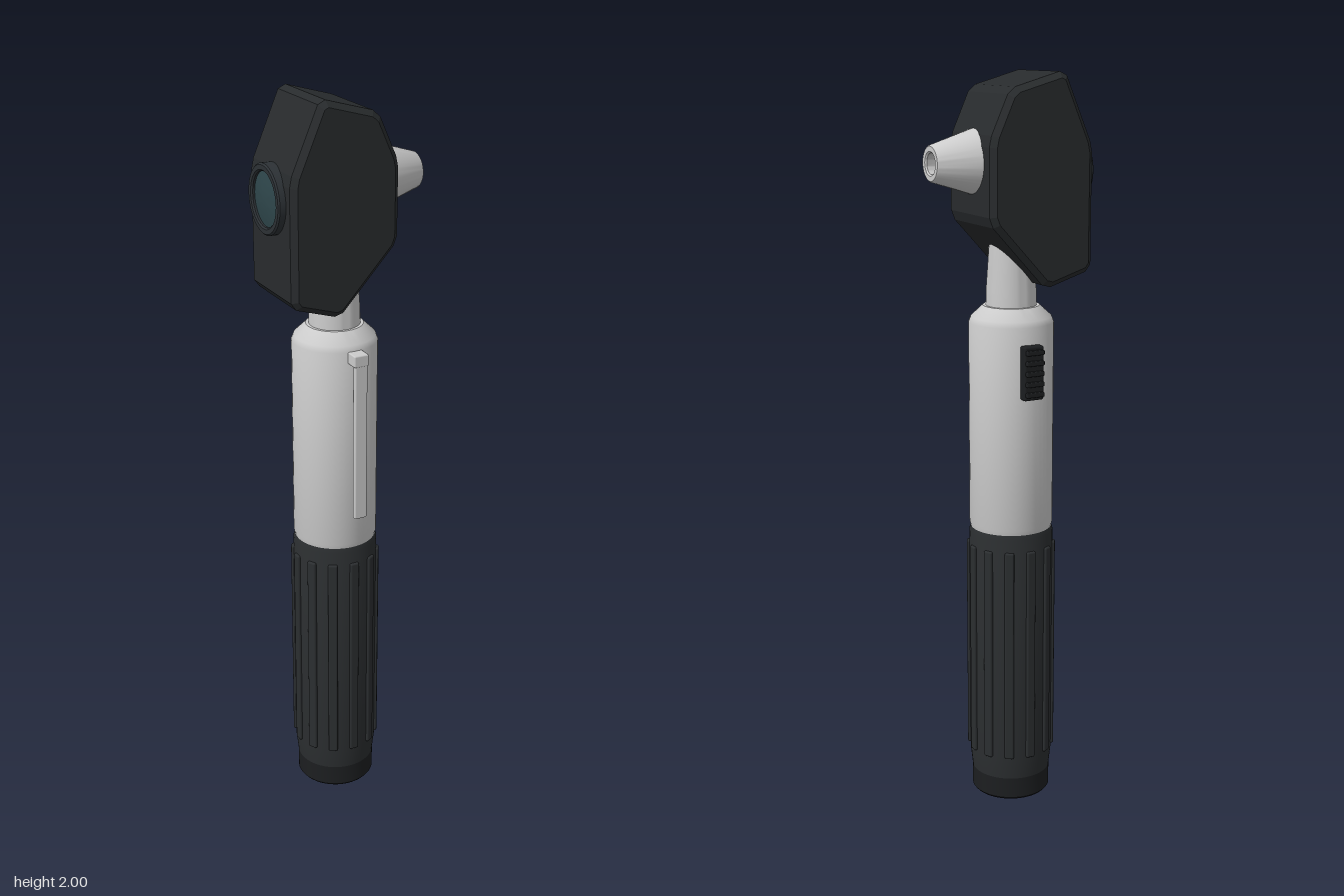
import * as THREE from 'three';
import { toCreasedNormals } from 'three/addons/utils/BufferGeometryUtils.js';
import { RoundedBoxGeometry } from 'three/addons/geometries/RoundedBoxGeometry.js';

const AXIS_X = -0.018, AXIS_Z = -0.004;

export function createModel() {
  const model = new THREE.Group();
  model.name = 'otoscope';
  const mat = (color) => new THREE.MeshStandardMaterial({ color });
  const metal = mat(0xcccccc), rubber = mat(0x2b2e30), shell = mat(0x282b2d);
  const black = mat(0x1c1e20), trim = mat(0x2c3135), glass = mat(0x2f474c);

  const add = (name, geometry, material, x = 0, y = 0, z = 0, parent = model) => {
    const mesh = new THREE.Mesh(geometry, material);
    mesh.name = name;
    mesh.position.set(x, y, z);
    parent.add(mesh);
    return mesh;
  };
  const lathe = (points, segments = 48) => toCreasedNormals(
    new THREE.LatheGeometry(points.map(([r, y]) => new THREE.Vector2(r, y)), segments), 0.5);

  // Handle: everything turned about one upright axis
  const handle = new THREE.Group();
  handle.name = 'handle';
  handle.position.set(AXIS_X, 0, AXIS_Z);
  model.add(handle);

  add('endCap', lathe([[0, 0], [0.104, 0], [0.109, 0.006], [0.109, 0.08], [0, 0.08]]), black, 0, 0, 0, handle);
  add('grip', lathe([[0, 0.065], [0.109, 0.065], [0.115, 0.12], [0.115, 0.775], [0.11, 0.79], [0, 0.79]]),
    rubber, 0, 0, 0, handle);
  add('barrel', lathe([[0, 0.78], [0.109, 0.78], [0.114, 0.80], [0.114, 1.355], [0.108, 1.37],
    [0.076, 1.4], [0, 1.4]]), metal, 0, 0, 0, handle);
  add('neck', lathe([[0.068, 1.39], [0.067, 1.44], [0.056, 1.6], [0, 1.6]]), metal, 0, 0, 0, handle);

  // Raised ribs round the grip
  const ribGeometry = new RoundedBoxGeometry(0.026, 0.61, 0.02, 2, 0.005);
  const ribs = new THREE.Group();
  ribs.name = 'gripRibs';
  handle.add(ribs);
  for (let i = 0; i < 12; i++) {
    const a = (i / 12) * Math.PI * 2;
    add('gripRib', ribGeometry, rubber, Math.sin(a) * 0.112, 0.435, Math.cos(a) * 0.112, ribs).rotation.y = a;
  }

  // Pocket clip on the front
  const clip = new THREE.Group();
  clip.name = 'pocketClip';
  clip.position.set(-0.016, 0, 0);
  model.add(clip);
  add('clipMount', new RoundedBoxGeometry(0.042, 0.032, 0.05, 1, 0.004), metal, 0, 1.34, 0.121, clip);
  add('clipBar', new RoundedBoxGeometry(0.036, 0.455, 0.016, 1, 0.004), metal, 0, 1.118, 0.137, clip);

  // Ridged slide switch on the back
  const slide = new THREE.Group();
  slide.name = 'slideSwitch';
  slide.position.set(-0.016, 1.237, 0);
  model.add(slide);
  add('switchBase', new RoundedBoxGeometry(0.058, 0.145, 0.04, 2, 0.006), black, 0, 0, -0.118, slide);
  for (let i = -2; i <= 2; i++) {
    add('switchRidge', new RoundedBoxGeometry(0.052, 0.013, 0.022, 1, 0.003), black, 0, i * 0.028, -0.137, slide);
  }

  // Head: faceted outline with clipped corners, bevelled on both sides
  const outline = [[-0.195, 1.495], [-0.06, 1.453], [0.103, 1.63], [0.103, 1.835],
    [0.045, 1.963], [-0.112, 2.007], [-0.195, 1.815]].map(([x, y]) => new THREE.Vector2(x, y));
  const shape = new THREE.Shape();
  outline.forEach((p, i) => {
    const prev = outline[(i + 6) % 7], next = outline[(i + 1) % 7];
    const a = p.clone().add(prev.clone().sub(p).setLength(0.015));
    const b = p.clone().add(next.clone().sub(p).setLength(0.015));
    if (i) shape.lineTo(a.x, a.y); else shape.moveTo(a.x, a.y);
    shape.lineTo(b.x, b.y);
  });
  shape.closePath();
  const bevel = 0.015, depth = 0.25 - 2 * bevel;
  const headGeometry = new THREE.ExtrudeGeometry(shape, {
    depth, bevelEnabled: true, bevelSegments: 1, bevelSize: bevel, bevelThickness: bevel, bevelOffset: -bevel,
  });
  add('head', headGeometry, shell, 0, 0, AXIS_Z - depth / 2);

  // Hollow ear tip pointing to the left
  const tip = add('earTip', lathe([[0.087, 0], [0.047, 0.128], [0.044, 0.131], [0.031, 0.131],
    [0.027, 0.127], [0.036, 0.02]]), metal, 0.084, 1.777, AXIS_Z);
  tip.rotation.z = -Math.PI / 2;

  // Eyepiece ring and lens on the opposite side
  const eyepiece = new THREE.Group();
  eyepiece.name = 'eyepiece';
  eyepiece.position.set(-0.16, 1.75, AXIS_Z);
  eyepiece.rotation.z = Math.PI / 2;
  model.add(eyepiece);
  add('eyepieceRing', lathe([[0.09, 0], [0.09, 0.051], [0.086, 0.055], [0.074, 0.055], [0.07, 0.051],
    [0.07, 0.035]]), trim, 0, 0, 0, eyepiece);
  add('lens', lathe([[0.072, 0.045], [0.05, 0.049], [0.025, 0.052], [0, 0.053]]), glass, 0, 0, 0, eyepiece);

  return model;
}
